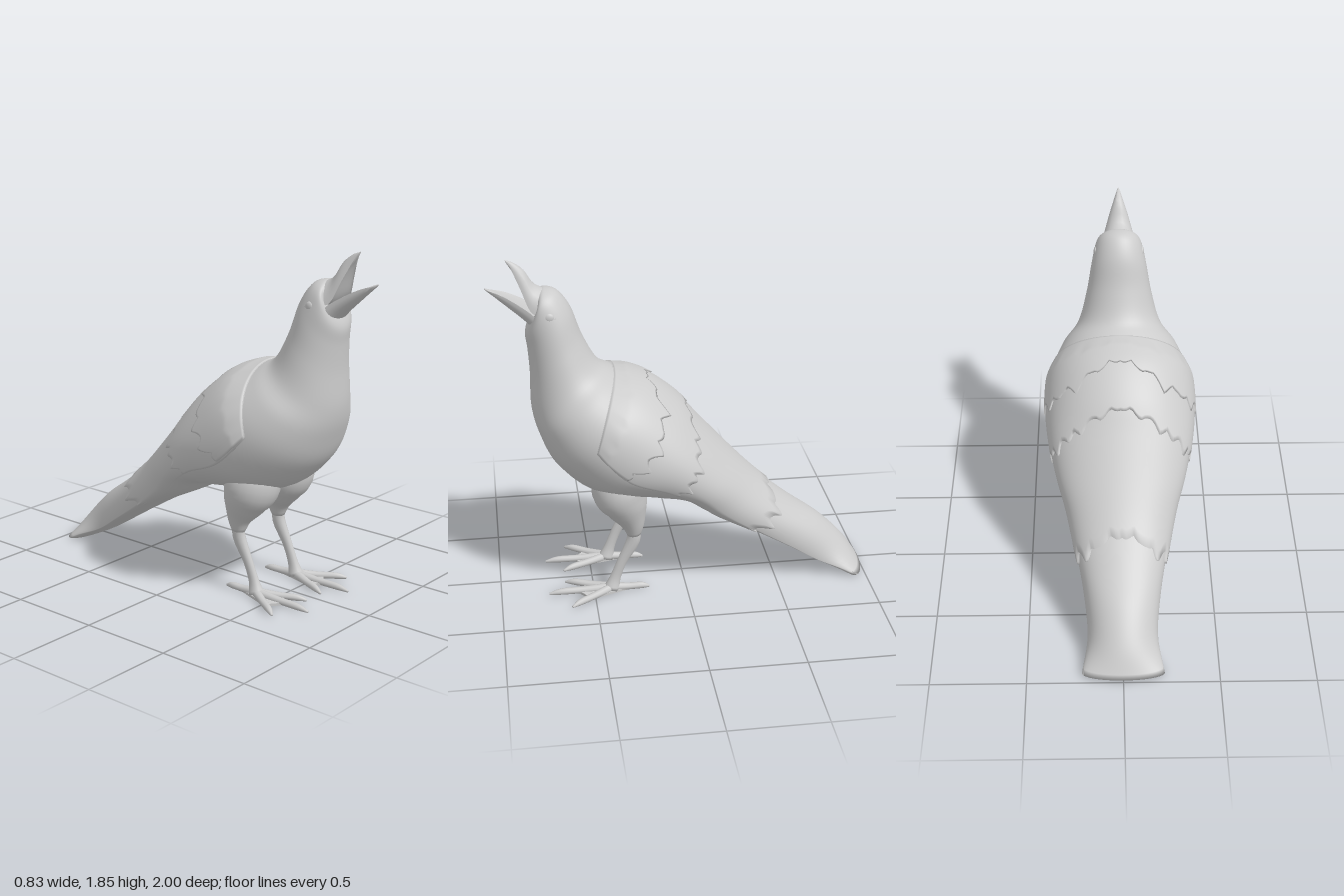
import * as THREE from 'three';
import { toCreasedNormals } from 'three/addons/utils/BufferGeometryUtils.js';

const material = new THREE.MeshStandardMaterial({ color: 0xcccccc, side: THREE.DoubleSide });
const V = (x, y, z) => new THREE.Vector3(x, y, z);

function named(name, geometry) {
  const mesh = new THREE.Mesh(geometry, material);
  mesh.name = name;
  return mesh;
}

// Skin over a grid of points; closed rings wrap round and get end caps
function skin(rows, closed = true) {
  const n = rows[0].length, pos = [], idx = [];
  for (const row of rows) for (const p of row) pos.push(p.x, Math.max(0, p.y), p.z);
  for (let j = 0; j < rows.length - 1; j++) {
    for (let i = 0; i < (closed ? n : n - 1); i++) {
      const a = j * n + i, b = j * n + (i + 1) % n;
      idx.push(a, b, a + n, b, b + n, a + n);
    }
  }
  if (closed) {
    [0, rows.length - 1].forEach((j, end) => {
      const c = V(0, 0, 0);
      rows[j].forEach(p => c.addScaledVector(p, 1 / n));
      const k = pos.length / 3;
      pos.push(c.x, Math.max(0, c.y), c.z);
      for (let i = 0; i < n; i++) {
        const a = j * n + i, b = j * n + (i + 1) % n;
        end ? idx.push(a, b, k) : idx.push(b, a, k);
      }
    });
  }
  const g = new THREE.BufferGeometry();
  g.setAttribute('position', new THREE.Float32BufferAttribute(pos, 3));
  g.setIndex(idx);
  g.computeVertexNormals();
  return g;
}

// Surface through sections [topZ, topY, bottomZ, bottomY, halfWidth, arch];
// arch droops the side edges and hollows the underside
function sectionSurface(sections) {
  const curve = f => new THREE.CatmullRomCurve3(sections.map(f), false, 'catmullrom', 0.5);
  const tops = curve(s => V(0, s[1], s[0]));
  const bottoms = curve(s => V(0, s[3], s[2]));
  const shape = curve(s => V(s[4], s[5] || 0, 0));
  return (t, a, offset = 0) => {
    const top = tops.getPoint(t), bottom = bottoms.getPoint(t), { x: w, y: arch } = shape.getPoint(t);
    const half = top.clone().sub(bottom).multiplyScalar(0.5), c = Math.cos(a);
    const u = c > 0 ? -arch + (1 + arch) * c : -arch + c * (1 - arch - 0.5 * arch * arch);
    const d = half.multiplyScalar(u).add(V(w * Math.sin(a), 0, 0));
    const p = top.add(bottom).multiplyScalar(0.5).add(d);
    return p.addScaledVector(d.normalize(), offset);
  };
}

function loft(surface, steps, sides) {
  return skin(Array.from({ length: steps + 1 }, (_, j) =>
    Array.from({ length: sides }, (_, i) => surface(j / steps, i / sides * Math.PI * 2))));
}

// Tapered limb through points [x, y, z, radius along ref, radius across]
function limb(points, ref, sides = 12) {
  const path = new THREE.CatmullRomCurve3(points.map(p => V(p[0], p[1], p[2])), false, 'catmullrom', 0.5);
  const radii = new THREE.CatmullRomCurve3(points.map(p => V(p[3], p[4], 0)), false, 'catmullrom', 0.5);
  const steps = (points.length - 1) * 4, rows = [];
  for (let j = 0; j <= steps; j++) {
    const c = path.getPoint(j / steps), T = path.getTangent(j / steps), r = radii.getPoint(j / steps);
    const N = T.clone().cross(ref).normalize(), S = N.clone().cross(T);
    rows.push(Array.from({ length: sides }, (_, i) => {
      const a = i / sides * Math.PI * 2;
      return c.clone().addScaledVector(S, r.x * Math.cos(a)).addScaledVector(N, r.y * Math.sin(a));
    }));
  }
  return skin(rows);
}

// Head to tail
const BODY = [
  [0.735, 1.68, 0.745, 1.565, 0.08],
  [0.70, 1.695, 0.778, 1.53, 0.112],
  [0.635, 1.675, 0.805, 1.46, 0.132],
  [0.57, 1.585, 0.797, 1.37, 0.152],
  [0.515, 1.43, 0.79, 1.24, 0.178],
  [0.44, 1.29, 0.79, 1.05, 0.225],
  [0.355, 1.235, 0.755, 0.90, 0.31],
  [0.19, 1.17, 0.675, 0.735, 0.375],
  [0.03, 1.05, 0.49, 0.585, 0.392],
  [-0.09, 0.91, 0.20, 0.54, 0.37],
  [-0.26, 0.72, 0.05, 0.53, 0.335, 0.15],
  [-0.42, 0.56, -0.075, 0.45, 0.288, 0.3],
  [-0.61, 0.405, -0.29, 0.335, 0.243, 0.5],
  [-0.77, 0.29, -0.52, 0.195, 0.203, 0.6],
  [-0.905, 0.155, -0.72, 0.075, 0.185, 0.6],
  [-1.0, 0.015, -0.88, 0.0, 0.215, 0],
];

// Feather layer lying on the body, with a toothed rear edge and sunk borders
function featherLayer(surface, end, sweep, angle, thickness, teeth) {
  const cols = 96, steps = 24, rows = [], last = BODY.length - 1;
  for (let j = -1; j <= steps + 1; j++) {
    const row = [], v = THREE.MathUtils.clamp(j / steps, 0, 1);
    for (let i = -1; i <= cols + 1; i++) {
      const s = THREE.MathUtils.clamp(i / cols, 0, 1) * 2 - 1, m = Math.abs(s);
      const a = s * (angle[0] + (angle[1] - angle[0]) * v);
      const tooth = Math.abs(((m * teeth) % 1) - 0.5) * (0.45 + 0.25 * Math.sin(m * 23));
      const rear = end + sweep * Math.sin(m * Math.PI * 0.65) + tooth;
      const front = 5.95 + 1.0 * m * m;
      const border = j < 0 || j > steps || i < 0 || i > cols;
      const lift = border ? -0.015 : thickness * Math.min(1, 0.3 + v * 2);
      row.push(surface((front + (rear - front) * v) / last, a, lift));
    }
    rows.push(row);
  }
  return skin(rows, false);
}

function createLeg(side) {
  const leg = new THREE.Group();
  leg.name = side > 0 ? 'leftLeg' : 'rightLeg';
  const X = V(1, 0, 0), Y = V(0, 1, 0);
  leg.add(named('thigh', limb([
    [0.13, 0.72, 0.35, 0.12, 0.13], [0.145, 0.60, 0.35, 0.15, 0.15], [0.155, 0.50, 0.315, 0.122, 0.115],
    [0.165, 0.41, 0.287, 0.07, 0.068], [0.168, 0.335, 0.28, 0.036, 0.036]], X, 24)));
  leg.add(named('shank', limb([
    [0.168, 0.38, 0.285, 0.028, 0.03], [0.168, 0.30, 0.285, 0.028, 0.038], [0.168, 0.18, 0.345, 0.021, 0.028],
    [0.168, 0.08, 0.385, 0.023, 0.03], [0.17, 0.015, 0.405, 0.04, 0.045]], X)));
  // Three toes forward, one back
  const tips = [[0.325, 0.63], [0.175, 0.745], [0.06, 0.65], [0.165, 0.20]];
  tips.forEach(([x, z], k) => {
    const at = (f, y, h, w) => [0.17 + (x - 0.17) * f, y, 0.4 + (z - 0.4) * f, h, w];
    leg.add(named('toe' + (k + 1), limb([
      at(0, 0.02, 0.025, 0.026), at(0.45, 0.016, 0.018, 0.021),
      at(0.8, 0.015, 0.017, 0.018), at(1, 0.006, 0.006, 0.006)], Y, 10)));
  });
  // Flat sole joining the toes
  const sole = new THREE.Shape(tips.map(([x, z]) =>
    new THREE.Vector2(0.17 + (x - 0.17) * 0.55, -(0.4 + (z - 0.4) * 0.55))));
  leg.add(named('footPad', new THREE.ExtrudeGeometry(sole, { depth: 0.014, bevelEnabled: false }).rotateX(-Math.PI / 2)));
  leg.scale.x = side;
  return leg;
}

function createEye(side) {
  const eye = new THREE.Group();
  eye.name = side > 0 ? 'leftEye' : 'rightEye';
  const ball = named('eyeball', new THREE.SphereGeometry(0.026, 16, 12));
  ball.scale.x = 0.5;
  const lid = named('eyelid', new THREE.TorusGeometry(0.027, 0.006, 8, 20, Math.PI));
  lid.rotation.set(0, Math.PI / 2, Math.PI);
  eye.add(ball, lid);
  eye.position.set(side * 0.124, 1.572, 0.685);
  return eye;
}

export function createModel() {
  const bird = new THREE.Group();
  bird.name = 'bird';

  const surface = sectionSurface(BODY);
  bird.add(named('body', loft(surface, 90, 48)));

  // Wings and back, overlapping from the rear layer forward
  bird.add(named('flightFeathers', featherLayer(surface, 11, 0.9, [1.75, 2.1], 0.012, 5)));
  bird.add(named('wingCoverts', featherLayer(surface, 8.1, 1.1, [1.74, 1.9], 0.019, 7)));
  bird.add(named('shoulderFeathers', featherLayer(surface, 6.7, 1.2, [1.73, 1.78], 0.025, 6)));

  // Open beak, hollow inside
  const upper = sectionSurface([
    [0.89, 1.848, 0.888, 1.84, 0.003], [0.845, 1.83, 0.852, 1.775, 0.026, 0.8],
    [0.797, 1.79, 0.82, 1.70, 0.052, 0.9], [0.748, 1.715, 0.775, 1.59, 0.085, 0.9],
    [0.67, 1.68, 0.725, 1.545, 0.11, 0.5]]);
  const lower = sectionSurface([
    [0.765, 1.485, 0.725, 1.56, 0.11, 0.5], [0.815, 1.537, 0.77, 1.59, 0.093, 0.9],
    [0.89, 1.603, 0.865, 1.65, 0.058, 0.9], [0.955, 1.66, 0.942, 1.685, 0.028, 0.8],
    [1.0, 1.698, 0.997, 1.704, 0.003]]);
  bird.add(named('upperBeak', toCreasedNormals(loft(upper, 16, 24), 0.8)));
  bird.add(named('lowerBeak', toCreasedNormals(loft(lower, 16, 24), 0.8)));

  for (const side of [1, -1]) bird.add(createLeg(side), createEye(side));
  return bird;
}
